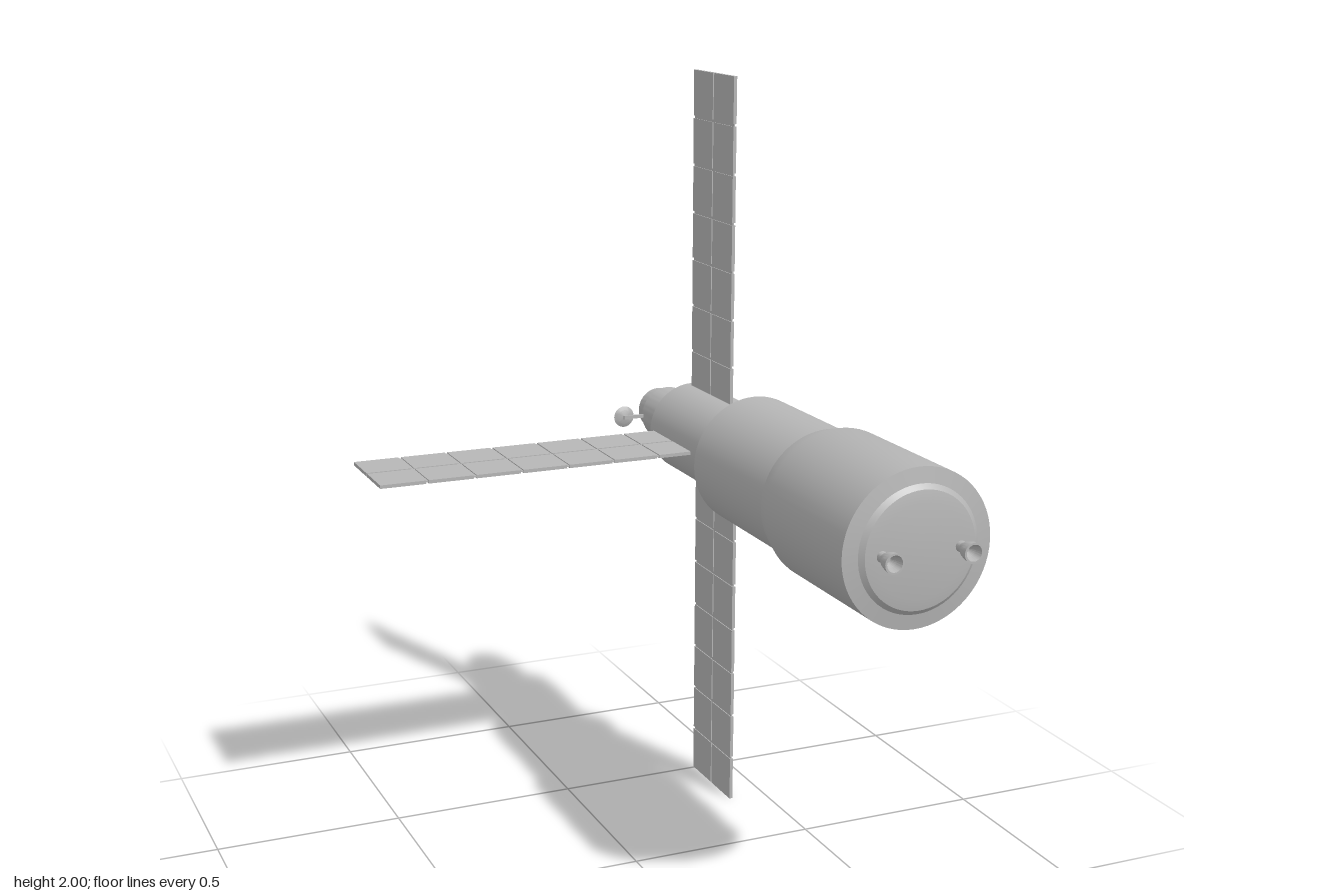
import * as THREE from 'three';
import { toCreasedNormals } from 'three/addons/utils/BufferGeometryUtils.js';

const AXIS_X = 0.39, AXIS_Y = 1.02, PANEL_Z = -0.383;

const hull = new THREE.MeshStandardMaterial({ color: 0xb6b6b6 });
hull.name = 'hullGrey';
hull.side = THREE.DoubleSide;

function addMesh(parent, name, geometry, x = 0, y = 0, z = 0) {
  const mesh = new THREE.Mesh(geometry, hull);
  mesh.name = name;
  mesh.position.set(x, y, z);
  parent.add(mesh);
  return mesh;
}

// Turned part along z from [radius, z] pairs, listed from back to front
function turned(profile, segments = 64) {
  const points = profile.map(([r, z]) => new THREE.Vector2(r, z));
  const geometry = new THREE.LatheGeometry(points, segments).rotateX(Math.PI / 2);
  return toCreasedNormals(geometry, 0.3);
}

// Solar wing growing along +y: thin backing sheet with two columns of cells
function solarWing(name, length) {
  const wing = new THREE.Group();
  wing.name = name;
  const width = 0.245, pitch = 0.127, rows = 7, gap = 0.007, inner = 0.08;
  addMesh(wing, 'backing', new THREE.BoxGeometry(0.004, length - inner - 0.004, width - 0.006),
    0, (length + inner) / 2 - 0.002, 0);
  const cell = new THREE.BoxGeometry(0.009, pitch - gap, (width - gap) / 2);
  for (let i = 0; i < rows; i++) {
    for (const side of [-1, 1]) {
      addMesh(wing, 'solarCell', cell,
        0, length - (pitch - gap) / 2 - i * pitch, side * (width + gap) / 4);
    }
  }
  return wing;
}

export function createModel() {
  const model = new THREE.Group();
  model.name = 'spaceStation';
  const body = new THREE.Group();
  body.name = 'body';
  body.position.set(AXIS_X, AXIS_Y, 0);
  model.add(body);

  // Docking nose
  addMesh(body, 'dockingNose', turned([
    [0, -0.785], [0.046, -0.785], [0.046, -0.76], [0.06, -0.76], [0.068, -0.7],
    [0.076, -0.697], [0.076, -0.56], [0, -0.56],
  ]));

  // Stepped pressure hull
  addMesh(body, 'pressureHull', turned([
    [0, -0.57], [0.08, -0.57], [0.123, -0.53], [0.123, -0.22], [0.17, -0.135],
    [0.17, 0.28], [0.178, 0.271], [0.193, 0.325], [0.193, 0.706],
  ]));

  // Shallow domed end plate
  addMesh(body, 'endPlate', turned([
    [0.193, 0.706], [0.155, 0.712], [0.143, 0.722], [0.115, 0.727], [0, 0.728],
  ]));

  // Engine nozzles, open at the mouth
  for (const side of [-1, 1]) {
    addMesh(body, 'engineNozzle', turned([
      [0.014, 0.715], [0.013, 0.74], [0.019, 0.753], [0.023, 0.768], [0.025, 0.785],
      [0.02, 0.785], [0.015, 0.765], [0.008, 0.75], [0, 0.75],
    ], 24), side * 0.102);
  }

  // Three solar wings
  const wings = [
    ['topWing', 0.98, 0, -0.005],
    ['bottomWing', 1.02, Math.PI, 0.01],
    ['sideWing', 0.975, Math.PI / 2, 0],
  ];
  for (const [name, length, angle, offset] of wings) {
    const wing = solarWing(name, length);
    wing.rotation.z = angle;
    wing.position.set(offset, 0, PANEL_Z);
    body.add(wing);
  }

  // Small dish antenna beside the nose
  const antenna = new THREE.Group();
  antenna.name = 'antenna';
  body.add(antenna);
  addMesh(antenna, 'antennaArm', new THREE.BoxGeometry(0.07, 0.01, 0.005), -0.1, 0, -0.692);
  addMesh(antenna, 'antennaDish', turned([
    [0.03, -0.704], [0.02, -0.699], [0, -0.695],
  ], 24), -0.13);

  return model;
}
